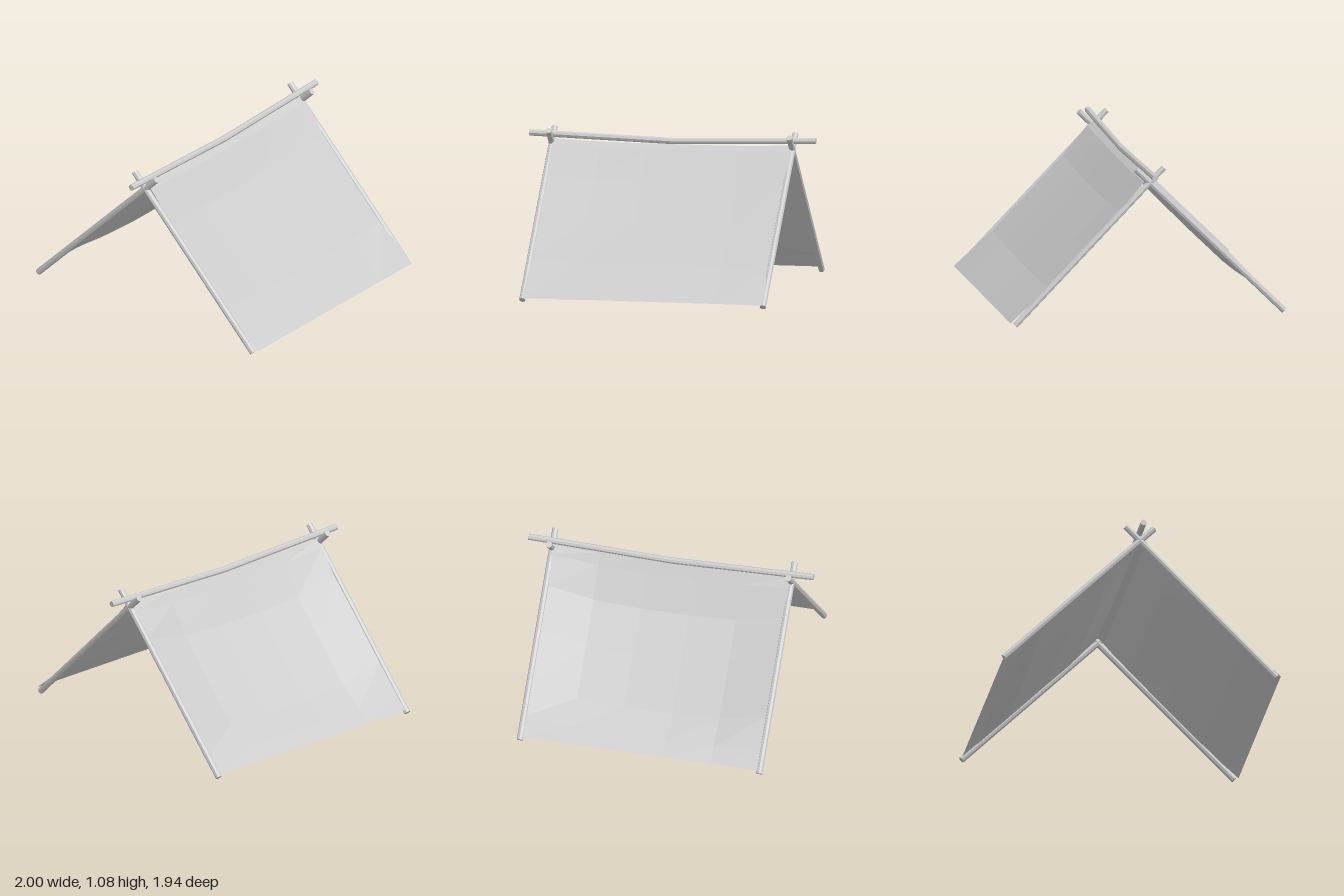
import * as THREE from 'three';

const wood = new THREE.MeshStandardMaterial({ color: 0xcccccc, flatShading: true });
const cloth = new THREE.MeshStandardMaterial({ color: 0xcccccc, flatShading: true, side: THREE.DoubleSide });
const RADIUS = 0.022;

// Straight pole between two points
function pole(name, from, to) {
  const dir = to.clone().sub(from);
  const mesh = new THREE.Mesh(new THREE.CylinderGeometry(RADIUS, RADIUS, dir.length(), 8), wood);
  mesh.position.copy(from).add(to).multiplyScalar(0.5);
  mesh.quaternion.setFromUnitVectors(new THREE.Vector3(0, 1, 0), dir.normalize());
  mesh.name = name;
  return mesh;
}

// Horizontal pole that dips at its middle
function ridgePole() {
  const geo = new THREE.CylinderGeometry(RADIUS, RADIUS, 2, 8, 2);
  geo.rotateZ(Math.PI / 2);
  const p = geo.attributes.position;
  for (let i = 0; i < p.count; i++) p.setY(i, p.getY(i) + 0.03 * Math.abs(p.getX(i)));
  geo.translate(0, 1.007, -0.012);
  const mesh = new THREE.Mesh(geo, wood);
  mesh.name = 'ridgePole';
  return mesh;
}

// Sheet hung over the ridge: each row is [z, height at the sides, height at mid-span]
function canvasSheet() {
  const rows = [
    [0.967, 0.032, 0.034], [0.7, 0.268, 0.25], [0.45, 0.52, 0.5], [0.2, 0.775, 0.75],
    [0.03, 0.97, 0.955], [-0.012, 1.0, 0.985], [-0.06, 0.95, 0.91],
    [-0.2, 0.79, 0.705], [-0.42, 0.57, 0.475], [-0.68, 0.305, 0.215], [-0.85, 0.135, 0.11], [-0.948, 0.038, 0.038],
  ];
  const xs = [-0.835, -0.5, -0.17, 0.17, 0.5, 0.835];
  const sag = [0, 0.8, 1, 1, 0.8, 0];
  const positions = [], index = [];
  rows.forEach(([z, side, middle], r) => xs.forEach((x, c) => {
    positions.push(x, side + (middle - side) * sag[c], z);
    if (r && c) {
      const d = r * xs.length + c, b = d - xs.length;
      index.push(b - 1, b, d, b - 1, d, d - 1);
    }
  }));
  const geo = new THREE.BufferGeometry();
  geo.setAttribute('position', new THREE.Float32BufferAttribute(positions, 3));
  geo.setIndex(index);
  geo.computeVertexNormals();
  const mesh = new THREE.Mesh(geo, cloth);
  mesh.name = 'canvasSheet';
  return mesh;
}

export function createModel() {
  const group = new THREE.Group();
  group.name = 'leanToTent';
  group.add(ridgePole(), canvasSheet());
  // Crossed legs at each end
  for (const [side, x] of [['Left', 0.835], ['Right', -0.845]]) {
    group.add(
      pole('frontLeg' + side, new THREE.Vector3(x, 0.016, 0.935), new THREE.Vector3(x, 1.067, -0.108)),
      pole('backLeg' + side, new THREE.Vector3(x, 0.016, -0.953), new THREE.Vector3(x, 1.067, 0.086)),
    );
  }
  return group;
}
